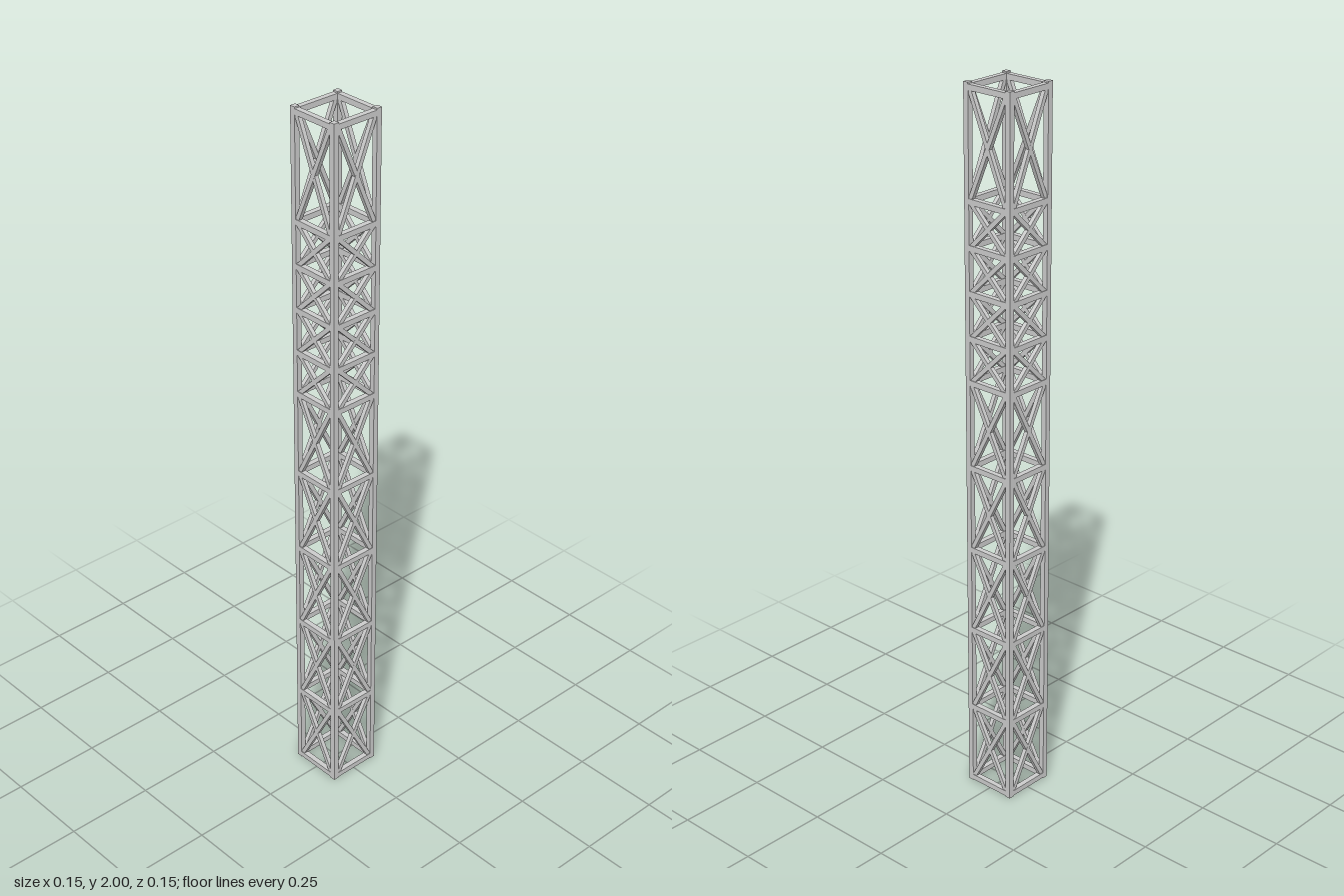
import * as THREE from 'three';

const HALF = 0.0695;  // post centre from the axis
const POST = 0.0155;  // post and rail thickness
const BRACE = 0.012;  // diagonal thickness
const LEVELS = [0.01, 0.24, 0.483, 0.727, 0.968, 1.21, 1.332, 1.454, 1.576, 1.698, 1.988];

export function createModel() {
  const tower = new THREE.Group();
  tower.name = 'latticeTower';
  const steel = new THREE.MeshStandardMaterial({ color: 0xcccccc, flatShading: true });

  // Square bar between two points of a face's plane
  function bar(parent, name, x0, y0, x1, y1, thickness, depth = thickness) {
    const dx = x1 - x0, dy = y1 - y0;
    const mesh = new THREE.Mesh(new THREE.BoxGeometry(thickness, Math.hypot(dx, dy), depth), steel);
    mesh.name = name;
    mesh.position.set((x0 + x1) / 2, (y0 + y1) / 2, 0);
    mesh.rotation.z = Math.atan2(-dx, dy);
    parent.add(mesh);
  }

  // Four equal faces, each with one corner post, its rails and its crossed braces
  const inner = HALF - POST / 2;
  for (let i = 0; i < 4; i++) {
    const side = new THREE.Group();
    side.name = ['frontFace', 'leftFace', 'backFace', 'rightFace'][i];
    side.rotation.y = i * Math.PI / 2;
    const face = new THREE.Group();
    face.name = 'faceFrame';
    face.position.z = HALF;
    side.add(face);

    bar(face, 'cornerPost', HALF, 0, HALF, 2, POST);
    LEVELS.forEach((y, k) => {
      bar(face, 'rail', -inner, y, inner, y, POST);
      if (k === LEVELS.length - 1) return;
      const top = LEVELS[k + 1];
      bar(face, 'risingBrace', -inner, y, inner, top, BRACE);
      bar(face, 'fallingBrace', inner, y, -inner, top, BRACE, BRACE * 0.98);
    });
    tower.add(side);
  }
  return tower;
}
